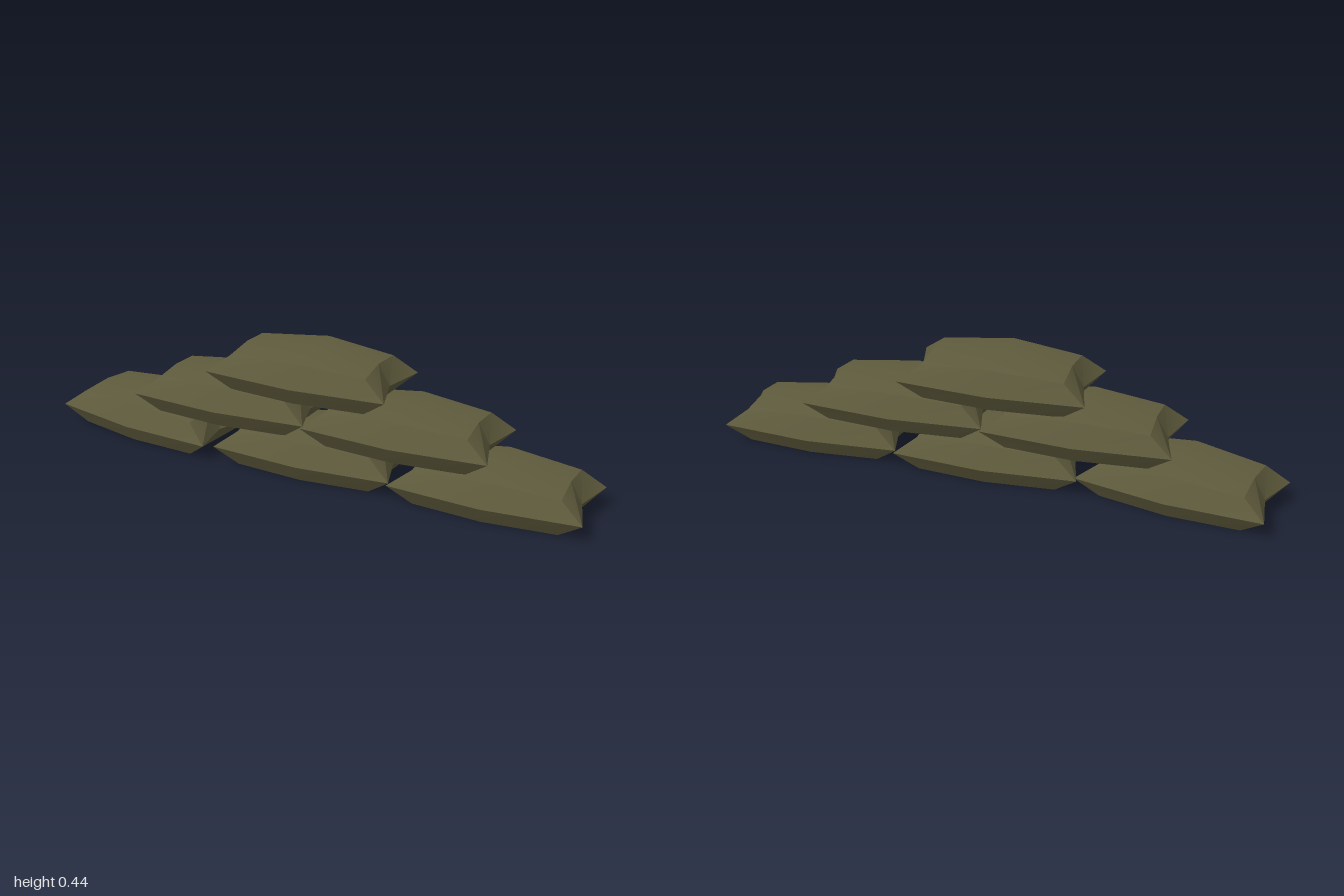
import * as THREE from 'three';
import { toCreasedNormals } from 'three/addons/utils/BufferGeometryUtils.js';

// Directions around one layer of a bag, counter-clockwise from above
const RING = [[1, -1], [0, -1], [-1, -1], [-1, 0], [-1, 1], [0, 1], [1, 1], [1, 0]];

// Half sizes of each layer: length at corners and end middles, width at corners and side middles
const LAYERS = [
  { cornerX: 0.247, endX: 0.247, cornerZ: 0.12, sideZ: 0.142, cornerY: 0, endY: 0, sideY: 0 },
  { cornerX: 0.33, endX: 0.288, cornerZ: 0.15, sideZ: 0.177, cornerY: 0.062, endY: 0.062, sideY: 0.062 },
  { cornerX: 0.25, endX: 0.247, cornerZ: 0.12, sideZ: 0.142, cornerY: 0.123, endY: 0.135, sideY: 0.145 },
];

// Pillow-like bag with pinched ends and a slightly domed top
function bagGeometry() {
  const positions = [];
  const index = [];
  for (const l of LAYERS) {
    for (const [i, k] of RING) {
      if (k === 0) positions.push(i * l.endX, l.endY, 0);
      else if (i === 0) positions.push(0, l.sideY, k * l.sideZ);
      else positions.push(i * l.cornerX, l.cornerY, k * l.cornerZ);
    }
  }
  positions.push(0, 0, 0, 0, 0.163, 0);
  const bottom = 24, top = 25;
  for (let n = 0; n < 8; n++) {
    const m = (n + 1) % 8;
    for (const o of [0, 8]) {
      index.push(o + n, o + m, o + 8 + m, o + n, o + 8 + m, o + 8 + n);
    }
    index.push(bottom, m, n, top, 16 + n, 16 + m);
  }
  const g = new THREE.BufferGeometry();
  g.setAttribute('position', new THREE.Float32BufferAttribute(positions, 3));
  g.setIndex(index);
  return toCreasedNormals(g, 0.45);
}

export function createModel() {
  const group = new THREE.Group();
  group.name = 'sandbagWall';
  const canvas = new THREE.MeshStandardMaterial({ color: 0x5f5b3d });
  canvas.name = 'olive canvas';
  const geometry = bagGeometry();

  // Name, x, y, z, yaw
  const bags = [
    ['bottomRightBag', -0.66, 0, -0.002, -0.132],
    ['bottomMiddleBag', 0.006, 0, 0.014, 0.027],
    ['bottomLeftBag', 0.665, 0, 0.014, 0.027],
    ['middleRightBag', -0.312, 0.14, 0.014, 0.027],
    ['middleLeftBag', 0.345, 0.14, 0.014, 0.027],
    ['topBag', -0.015, 0.28, 0.014, 0.027],
  ];
  for (const [name, x, y, z, yaw] of bags) {
    const bag = new THREE.Mesh(geometry, canvas);
    bag.name = name;
    bag.position.set(x, y, z);
    bag.rotation.y = yaw;
    group.add(bag);
  }
  return group;
}
